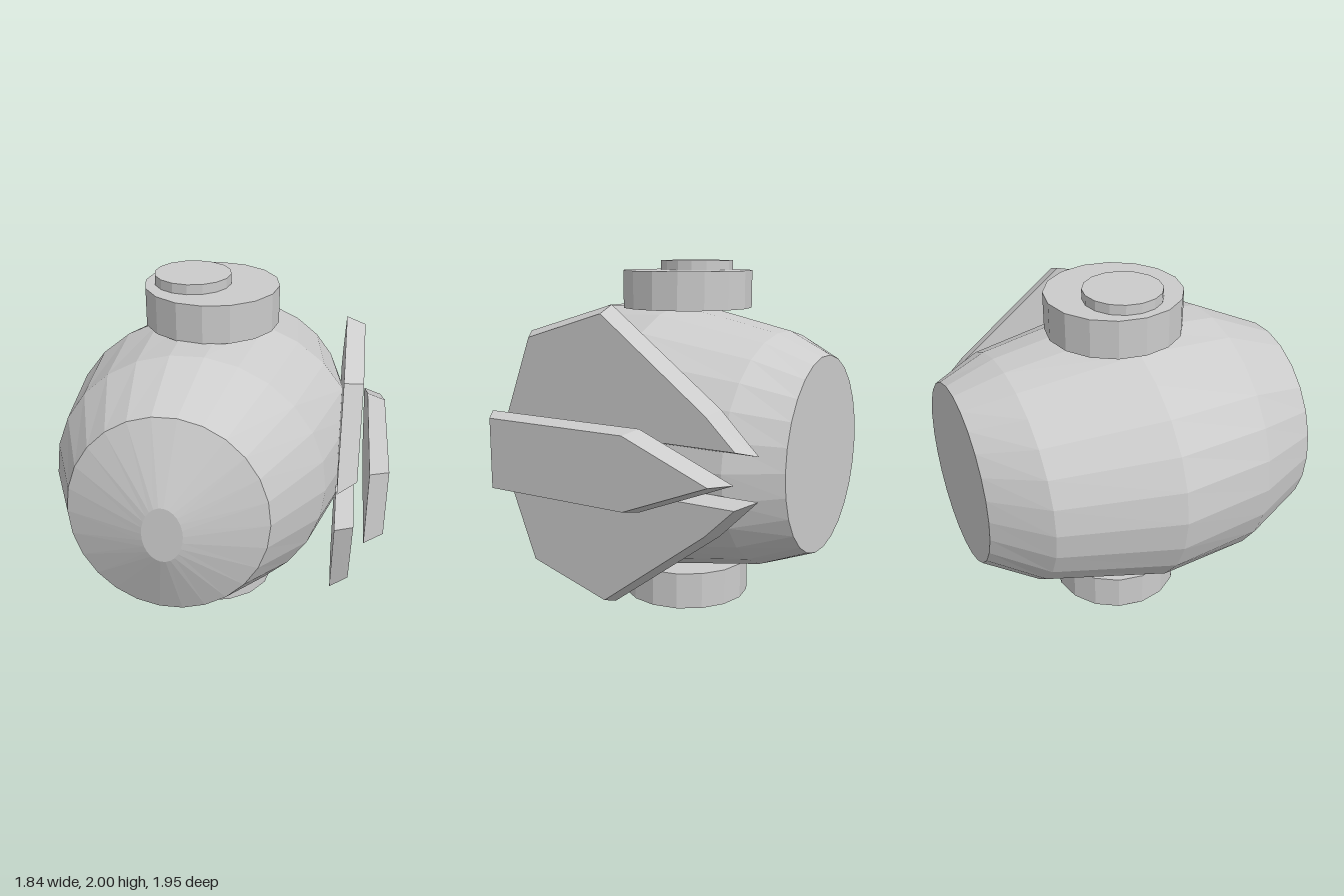
import * as THREE from 'three';

const material = new THREE.MeshStandardMaterial({ color: 0xcccccc, flatShading: true, roughness: 0.8 });

function addMesh(parent, name, geometry) {
  const mesh = new THREE.Mesh(geometry, material);
  mesh.name = name;
  parent.add(mesh);
  return mesh;
}

// Skin a stack of rings (counterclockwise seen from the last one) and cap both ends.
function loft(rings) {
  const points = [];
  const n = rings[0].length;
  const centre = (ring) => ring.reduce((sum, p) => sum.add(p), new THREE.Vector3()).divideScalar(n);
  const first = rings[0];
  const last = rings[rings.length - 1];
  const firstCentre = centre(first);
  const lastCentre = centre(last);
  for (let j = 0; j < n; j++) {
    const k = (j + 1) % n;
    for (let i = 0; i < rings.length - 1; i++) {
      const [a, b, c, d] = [rings[i][j], rings[i][k], rings[i + 1][k], rings[i + 1][j]];
      points.push(a, b, c, a, c, d);
    }
    points.push(firstCentre, first[k], first[j], lastCentre, last[j], last[k]);
  }
  const geometry = new THREE.BufferGeometry().setFromPoints(points);
  geometry.computeVertexNormals();
  return geometry;
}

// Elliptical ring facing z
function ellipse(z, cx, rx, ry, sides = 26) {
  return Array.from({ length: sides }, (_, i) => {
    const a = (i / sides) * Math.PI * 2;
    return new THREE.Vector3(cx + rx * Math.cos(a), 1 + ry * Math.sin(a), z);
  });
}

// Bevelled plate facing +x, from [z, y] outlines of its inner and outer faces
function plate(x0, inner, x1, outer) {
  const ring = (x, outline) => outline.map(([z, y]) => new THREE.Vector3(x, y, z));
  return loft([ring(x0, inner), ring(x1, outer)]);
}

// Mirror an outline across y = 1, keeping its winding
const flip = (outline) => outline.map(([z, y]) => [z, 2 - y]).reverse();

export function createModel() {
  const model = new THREE.Group();
  model.name = 'barrelPod';

  // Barrel body, back to front: z, centre x, half width, half height
  const sections = [
    [-0.975, 0.02, 0.47, 0.527],
    [-0.715, -0.025, 0.685, 0.635],
    [-0.08, -0.08, 0.84, 0.76],
    [0.445, -0.135, 0.735, 0.74],
    [0.815, -0.185, 0.525, 0.578],
    [0.97, -0.185, 0.105, 0.16],
  ];
  addMesh(model, 'body', loft(sections.map((s) => ellipse(...s))));

  // Stepped hubs above and below the body
  for (const [side, sign] of [['top', 1], ['bottom', -1]]) {
    const hub = new THREE.Group();
    hub.name = side + 'Hub';
    addMesh(hub, 'hubDrum', new THREE.CylinderGeometry(0.368, 0.368, 0.208, 16))
      .position.set(-0.08, 1 + sign * 0.842, -0.08);
    addMesh(hub, 'hubCap', new THREE.CylinderGeometry(0.21, 0.21, 0.06, 16))
      .position.set(-0.185, 1 + sign * 0.97, -0.08);
    model.add(hub);
  }

  // Upper and lower side plates
  const inner = [[-0.08, 1.79], [0.45, 1.635], [0.655, 1.11], [-0.915, 1.11], [-0.71, 1.315]];
  const outer = [[-0.08, 1.75], [0.387, 1.61], [0.57, 1.14], [-0.84, 1.14], [-0.68, 1.295]];
  addMesh(model, 'upperSidePlate', plate(0.657, inner, 0.758, outer));
  addMesh(model, 'lowerSidePlate', plate(0.657, flip(inner), 0.758, flip(outer)));

  // Pointed middle plate, set further out
  addMesh(model, 'middleSidePlate', plate(
    0.815, [[0.605, 1.21], [0.605, 0.79], [-0.345, 0.79], [-0.865, 1], [-0.345, 1.21]],
    0.917, [[0.535, 1.19], [0.535, 0.81], [-0.31, 0.81], [-0.785, 1], [-0.31, 1.19]],
  ));

  return model;
}
